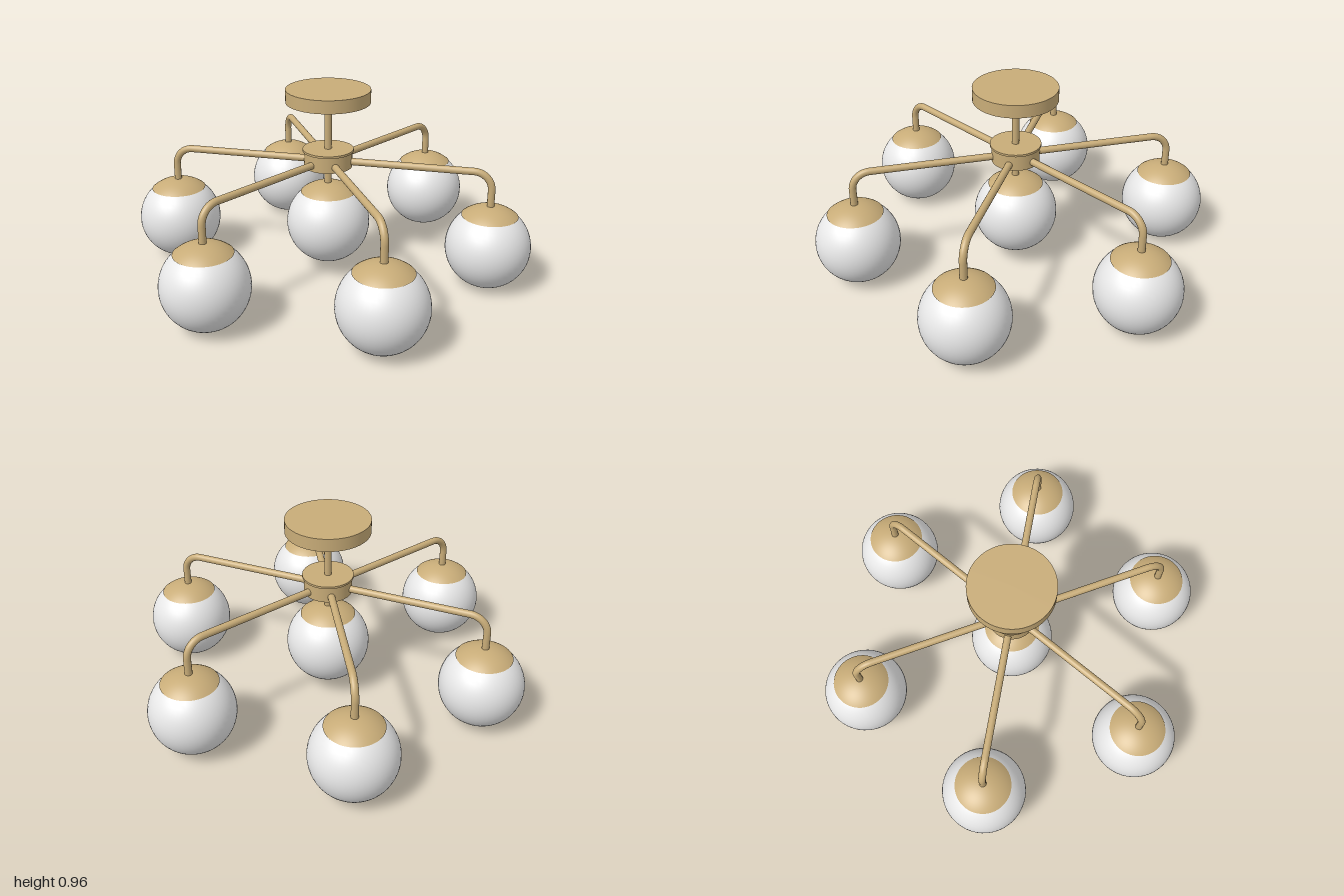
import * as THREE from 'three';

const brass = new THREE.MeshStandardMaterial({ color: 0xc8ac78 });
brass.name = 'brushed brass';
const opal = new THREE.MeshStandardMaterial({ color: 0xeeeeee });
opal.name = 'opal glass';

const ARM_Y = 0.595, ARM_REACH = 0.81, BEND = 0.09, ROD = 0.018, GLOBE = 0.21;

function add(parent, name, geometry, material, y = 0) {
  const mesh = new THREE.Mesh(geometry, material);
  mesh.name = name;
  mesh.position.y = y;
  parent.add(mesh);
  return mesh;
}

// Upright cylinder spanning two heights
function disc(parent, name, radius, y0, y1, sides = 64) {
  return add(parent, name, new THREE.CylinderGeometry(radius, radius, y1 - y0, sides), brass, (y0 + y1) / 2);
}

// Glass ball with a thin brass cap hugging its top
function globe(x, y) {
  const group = new THREE.Group();
  group.name = 'globeShade';
  group.position.set(x, y, 0);
  add(group, 'glassGlobe', new THREE.SphereGeometry(GLOBE, 48, 32), opal);
  const cap = new THREE.SphereGeometry(GLOBE + 0.004, 48, 10, 0, Math.PI * 2, 0, 0.7);
  add(group, 'globeCap', cap, brass);
  return group;
}

// Horizontal rod that bends down to the globe
function armGeometry() {
  const path = new THREE.CurvePath();
  const bendStart = new THREE.Vector3(ARM_REACH - BEND, ARM_Y, 0);
  const bendEnd = new THREE.Vector3(ARM_REACH, ARM_Y - BEND, 0);
  const k = BEND * 0.5523;
  path.add(new THREE.LineCurve3(new THREE.Vector3(0.06, ARM_Y, 0), bendStart));
  path.add(new THREE.CubicBezierCurve3(
    bendStart, new THREE.Vector3(bendStart.x + k, ARM_Y, 0),
    new THREE.Vector3(ARM_REACH, bendEnd.y + k, 0), bendEnd));
  path.add(new THREE.LineCurve3(bendEnd, new THREE.Vector3(ARM_REACH, 0.41, 0)));
  return new THREE.TubeGeometry(path, 96, ROD, 16, false);
}

export function createModel() {
  const model = new THREE.Group();
  model.name = 'chandelier';

  // Ceiling plate, drop rod and hub
  disc(model, 'ceilingCanopy', 0.208, 0.895, 0.96);
  disc(model, 'dropRod', ROD, 0.64, 0.9, 24);
  disc(model, 'hub', 0.12, 0.565, 0.646);
  disc(model, 'hubRim', 0.127, 0.645, 0.656);

  // Central globe on a short stem
  disc(model, 'centerStem', ROD, 0.46, 0.57, 24);
  const center = globe(0, 0.264);
  center.name = 'centerGlobe';
  model.add(center);

  // Six arms, each with its globe
  const tube = armGeometry();
  for (let i = 0; i < 6; i++) {
    const arm = new THREE.Group();
    arm.name = 'arm' + (i + 1);
    arm.rotation.y = -THREE.MathUtils.degToRad(16.6 + i * 60);
    add(arm, 'armRod', tube, brass);
    arm.add(globe(ARM_REACH, GLOBE));
    model.add(arm);
  }
  return model;
}
